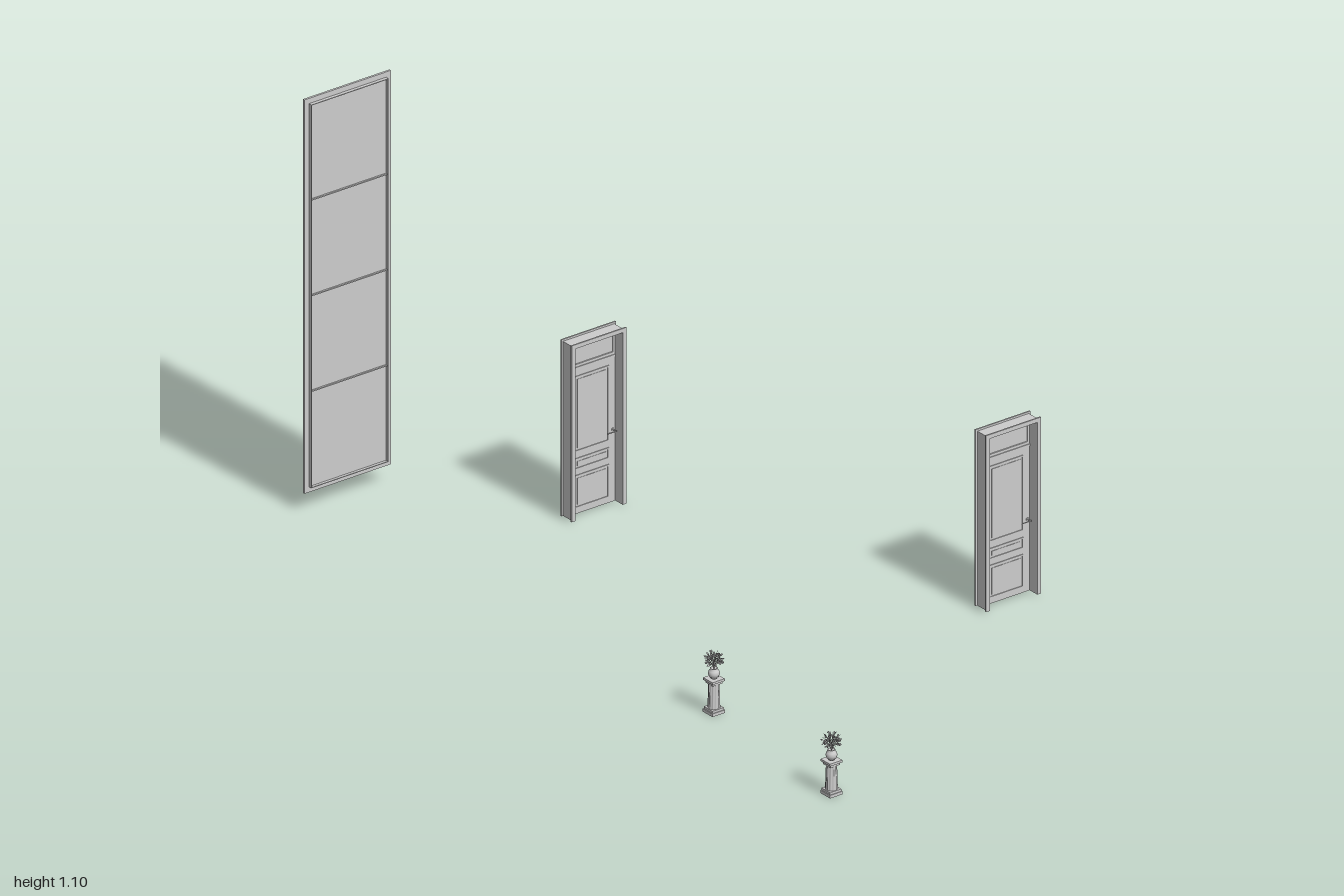
import * as THREE from 'three';

const stone = new THREE.MeshStandardMaterial({ color: 0xcccccc });
stone.name = 'lightGrey';
stone.side = THREE.DoubleSide;

function add(parent, name, geometry, x = 0, y = 0, z = 0) {
  const mesh = new THREE.Mesh(geometry, stone);
  mesh.name = name;
  mesh.position.set(x, y, z);
  parent.add(mesh);
  return mesh;
}

const box = (parent, name, w, h, d, x, y, z) =>
  add(parent, name, new THREE.BoxGeometry(w, h, d), x, y, z);

// Rectangular frame, y0..y1 high, extruded from z0 to z1
function frame(parent, name, w, y0, y1, border, z0, z1, openBottom = false) {
  const rect = (path, hw, a, b) =>
    path.moveTo(-hw, a).lineTo(hw, a).lineTo(hw, b).lineTo(-hw, b).closePath();
  const h = w / 2, i = h - border;
  const shape = new THREE.Shape();
  if (openBottom) {
    shape.moveTo(-h, y0).lineTo(-i, y0).lineTo(-i, y1 - border).lineTo(i, y1 - border)
      .lineTo(i, y0).lineTo(h, y0).lineTo(h, y1).lineTo(-h, y1).closePath();
  } else {
    rect(shape, h, y0, y1);
    shape.holes.push(rect(new THREE.Path(), i, y0 + border, y1 - border));
  }
  const geometry = new THREE.ExtrudeGeometry(shape, { depth: z1 - z0, bevelEnabled: false });
  return add(parent, name, geometry, 0, 0, z0);
}

// Tall window; local z points out of its face
function createWindow() {
  const g = new THREE.Group();
  g.name = 'tallWindow';
  frame(g, 'windowTrim', 0.26, 0.05, 1.1, 0.0155, 0, 0.006);
  frame(g, 'windowLiner', 0.232, 0.064, 1.086, 0.002, 0, 0.015);
  box(g, 'windowPane', 0.229, 1.019, 0.003, 0, 0.575, 0.006);
  for (const k of [-1, 0, 1])
    box(g, 'windowCrossbar', 0.229, 0.003, 0.011, 0, 0.575 + k * 0.255, 0.0065);
  return g;
}

// Panelled door in a deep frame with a transom
function createDoor() {
  const g = new THREE.Group();
  g.name = 'door';
  frame(g, 'backTrim', 0.165, 0.005, 0.475, 0.011, 0, 0.004, true);
  frame(g, 'frontTrim', 0.165, 0.005, 0.475, 0.011, 0.041, 0.045, true);
  frame(g, 'doorJamb', 0.155, 0.005, 0.47, 0.006, 0.004, 0.041, true);

  // Transom above the leaf
  box(g, 'transomBar', 0.146, 0.006, 0.014, 0, 0.393, 0.01);
  frame(g, 'transomFrame', 0.145, 0.396, 0.464, 0.007, 0.005, 0.015);
  box(g, 'transomPane', 0.132, 0.056, 0.003, 0, 0.43, 0.01);

  // Leaf with raised mouldings on both faces
  box(g, 'doorLeaf', 0.142, 0.385, 0.01, 0, 0.1975, 0.01);
  for (const [low, high] of [[0.02, 0.108], [0.123, 0.153], [0.17, 0.372]])
    for (const face of [0.003, 0.015]) {
      frame(g, 'panelMoulding', 0.104, low, high, 0.004, face, face + 0.002);
      box(g, 'raisedPanel', 0.086, high - low - 0.018, 0.001, 0, (low + high) / 2,
        face === 0.003 ? 0.0045 : 0.0155);
    }

  // Lever handles on both sides
  for (const side of [-1, 1]) {
    const z = 0.01 + side * 0.006;
    const rose = add(g, 'handleRose', new THREE.CylinderGeometry(0.004, 0.004, 0.002, 16), 0.064, 0.197, z);
    const stem = add(g, 'handleStem', new THREE.CylinderGeometry(0.0015, 0.0015, 0.013, 8), 0.064, 0.197, z + side * 0.006);
    rose.rotation.x = stem.rotation.x = Math.PI / 2;
    const lever = add(g, 'handleLever', new THREE.CylinderGeometry(0.0013, 0.0017, 0.028, 8), 0.052, 0.197, z + side * 0.012);
    lever.rotation.z = Math.PI / 2;
  }
  return g;
}

// Fluted shaft: every other pair of columns is pulled inward
function flutedShaft() {
  const geometry = new THREE.CylinderGeometry(0.0135, 0.0155, 0.064, 48, 1);
  const p = geometry.attributes.position;
  for (let i = 0; i < p.count; i++) {
    const x = p.getX(i), z = p.getZ(i);
    const s = 1 - 0.12 * (0.5 + 0.5 * Math.cos(12 * Math.atan2(z, x)));
    p.setX(i, x * s);
    p.setZ(i, z * s);
  }
  geometry.computeVertexNormals();
  return geometry;
}

// Folded leaf pointing up +y
function leafGeometry(length, width) {
  const g = new THREE.BufferGeometry();
  g.setAttribute('position', new THREE.Float32BufferAttribute([
    0, 0, 0, width, length * 0.5, 0.001, 0, length, 0,
    0, 0, 0, 0, length, 0, -width, length * 0.5, 0.001], 3));
  g.computeVertexNormals();
  return g;
}

// Pedestal with a round pot and a leafy plant
function createPlanter(seed) {
  const random = () => (seed = (seed * 16807) % 2147483647) / 2147483647;
  const g = new THREE.Group();
  g.name = 'planter';
  box(g, 'plinth', 0.038, 0.008, 0.038, 0, 0.004, 0);
  box(g, 'plinthStep', 0.034, 0.006, 0.034, 0, 0.011, 0);
  add(g, 'pedestalShaft', flutedShaft(), 0, 0.046, 0);
  box(g, 'capitalNeck', 0.029, 0.007, 0.029, 0, 0.0815, 0);
  box(g, 'capital', 0.037, 0.006, 0.037, 0, 0.088, 0);

  const profile = [[0, 0.091], [0.008, 0.091], [0.0075, 0.093], [0.012, 0.097], [0.0145, 0.104],
    [0.0125, 0.111], [0.008, 0.115], [0.0095, 0.118], [0.007, 0.118], [0.006, 0.115], [0, 0.115]];
  add(g, 'pot', new THREE.LatheGeometry(profile.map(([r, y]) => new THREE.Vector2(r, y)), 24));

  // Stems fan out from the pot, each carrying a few leaves
  const leaf = leafGeometry(0.0085, 0.0027);
  const up = new THREE.Vector3(0, 1, 0);
  for (let i = 0; i < 34; i++) {
    const angle = i * 2.39996, height = 1 - 1.45 * (i + 0.5) / 34;
    const flat = Math.sqrt(1 - height * height), reach = 0.017 + 0.004 * random();
    const dir = new THREE.Vector3(flat * Math.cos(angle), height, flat * Math.sin(angle));
    const tip = dir.clone().multiplyScalar(reach).add(new THREE.Vector3(0, 0.1395, 0));
    const curve = new THREE.QuadraticBezierCurve3(new THREE.Vector3(0, 0.115, 0),
      new THREE.Vector3(tip.x * 0.3, 0.136, tip.z * 0.3), tip);
    add(g, 'stem', new THREE.TubeGeometry(curve, 4, 0.0004, 3));
    for (let k = 0; k < 4; k++) {
      const at = curve.getPoint(1 - 0.09 * k);
      const aim = dir.clone().add(new THREE.Vector3(random() - 0.5, random() - 0.5, random() - 0.5)
        .multiplyScalar(k ? 2.4 : 0.6)).normalize();
      const mesh = add(g, 'leaf', leaf, at.x, at.y, at.z);
      mesh.quaternion.setFromUnitVectors(up, aim);
      mesh.rotateY(random() * Math.PI * 2);
    }
  }
  return g;
}

export function createModel() {
  const model = new THREE.Group();
  model.name = 'roomFittings';
  const place = (part, x, z, turn = 0) => {
    part.position.set(x, 0, z);
    part.rotation.y = turn;
    model.add(part);
  };
  place(createWindow(), -1, 0.432, Math.PI / 2);
  place(createDoor(), -0.6, 0.0125, Math.PI / 2);
  place(createDoor(), 0.385, -0.4775, Math.PI / 2);
  place(createPlanter(71), 0.45, 0.441);
  place(createPlanter(1293), 0.967, 0.485);
  return model;
}
